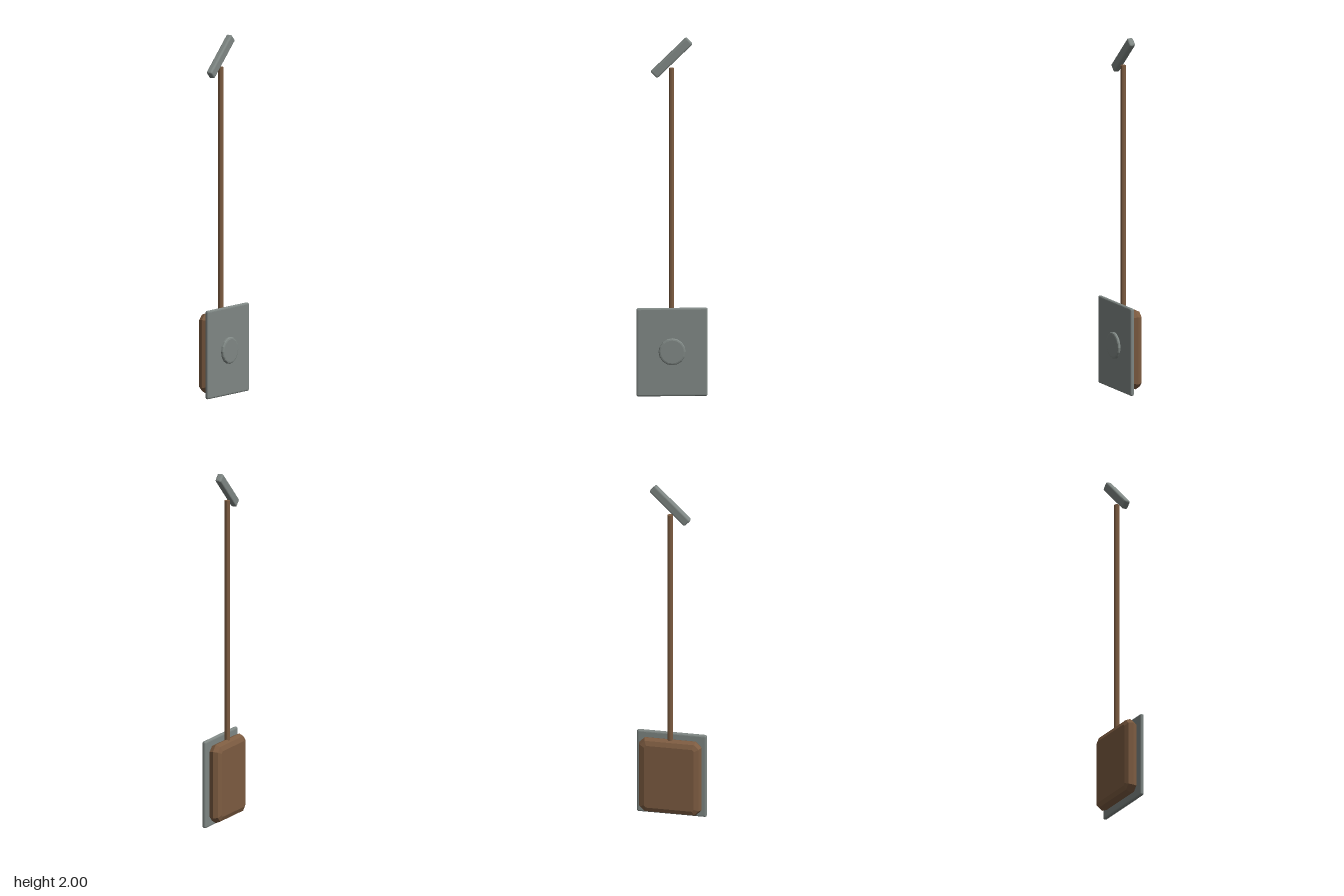
import * as THREE from 'three';
import { RoundedBoxGeometry } from 'three/addons/geometries/RoundedBoxGeometry.js';

const metal = new THREE.MeshStandardMaterial({ color: 0x7f8784, flatShading: true });
const wood = new THREE.MeshStandardMaterial({ color: 0x7d5c41, flatShading: true });

function part(group, name, geometry, material, x, y, z) {
  const mesh = new THREE.Mesh(geometry, material);
  mesh.name = name;
  mesh.position.set(x, y, z);
  group.add(mesh);
  return mesh;
}

// Pillow-like slab: chamfered rectangle whose edges bulge out to a ridge at mid-depth
function pillow(w, h, d, bevel, chamfer) {
  const a = w / 2 - bevel, b = h / 2 - bevel, c = chamfer;
  const shape = new THREE.Shape([
    [a, c - b], [a, b - c], [a - c, b], [c - a, b],
    [-a, b - c], [-a, c - b], [c - a, -b], [a - c, -b],
  ].map(([x, y]) => new THREE.Vector2(x, y)));
  const depth = 0.001;
  const g = new THREE.ExtrudeGeometry(shape, {
    depth, bevelEnabled: true, bevelThickness: (d - depth) / 2, bevelSize: bevel, bevelSegments: 2,
  });
  return g.translate(0, 0, -depth / 2);
}

export function createModel() {
  const group = new THREE.Group();

  // Wooden block with the metal face plate in front of it
  part(group, 'block', pillow(0.354, 0.446, 0.072, 0.036, 0.012), wood, 0, 0.248, -0.02);
  part(group, 'facePlate', new RoundedBoxGeometry(0.394, 0.494, 0.023, 2, 0.01), metal, 0, 0.248, 0.0265);

  // Round boss with a bevelled rim
  const rim = [[0, -0.012], [0.075, -0.012], [0.075, 0.004], [0.071, 0.009], [0.064, 0.011], [0, 0.011]];
  const boss = new THREE.LatheGeometry(rim.map(([r, y]) => new THREE.Vector2(r, y)), 16);
  boss.rotateX(Math.PI / 2);
  part(group, 'boss', boss, metal, 0, 0.252, 0.042);

  // Long handle and slanted grip
  part(group, 'handle', new THREE.CylinderGeometry(0.015, 0.015, 1.4, 10), wood, 0, 1.13, -0.018);
  const grip = part(group, 'grip', new RoundedBoxGeometry(0.276, 0.052, 0.036, 2, 0.01), metal, 0, 1.888, -0.018);
  grip.rotation.z = THREE.MathUtils.degToRad(44);

  return group;
}
